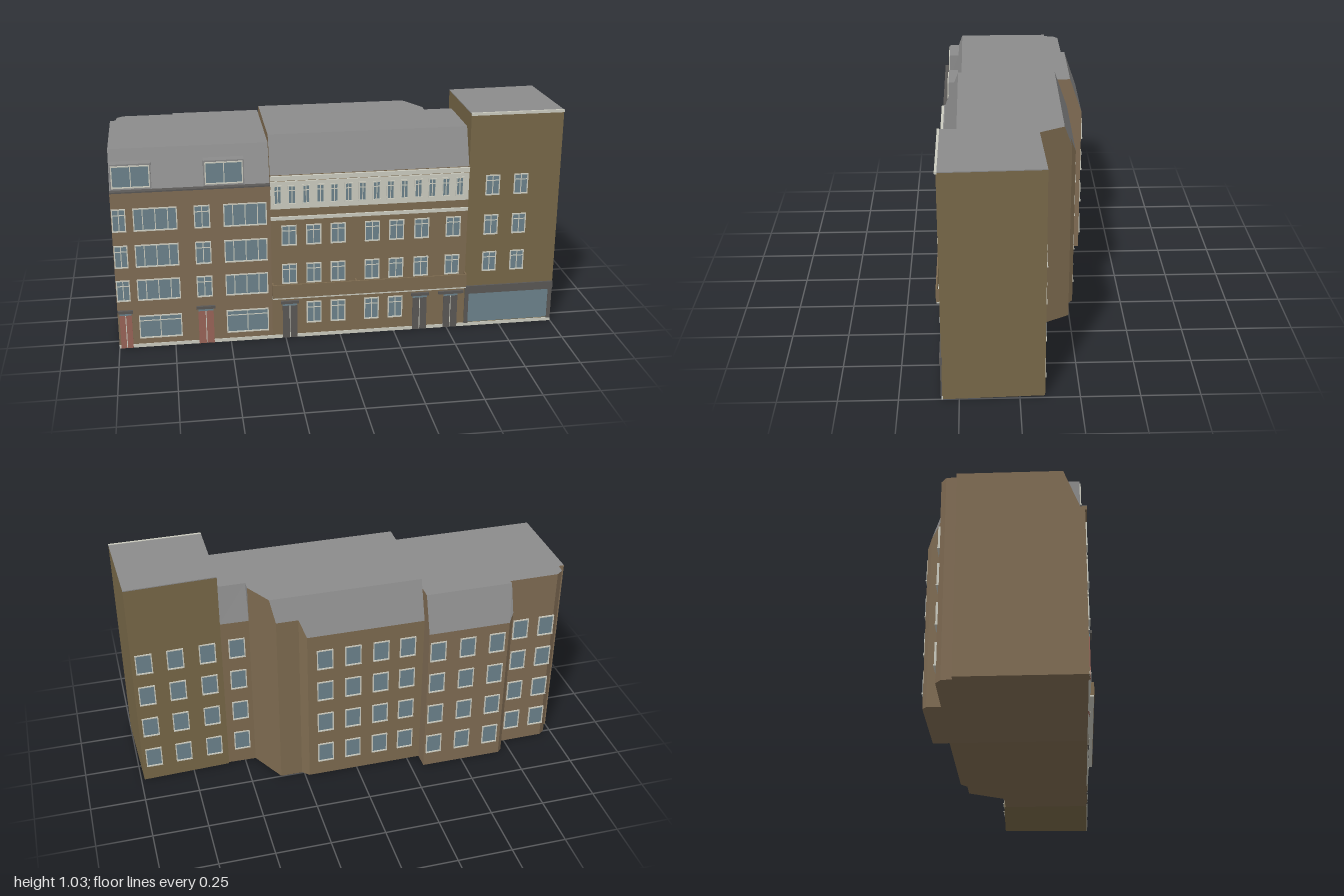
import * as THREE from 'three';
import { mergeGeometries } from 'three/addons/utils/BufferGeometryUtils.js';

const COLORS = {
  wallA: 0x806c54, wallB: 0x7e6b50, wallC: 0x786848, roof: 0x8c8c8c, trim: 0xccccc0,
  glass: 0x6c838c, dark: 0x5a5856, red: 0x9a6458,
};
const FRONT = 0.32;

export function createModel() {
  const model = new THREE.Group();
  const mats = {};
  for (const k in COLORS) mats[k] = new THREE.MeshStandardMaterial({ color: COLORS[k], flatShading: true });

  const addMesh = (name, mat, geo) => {
    const m = new THREE.Mesh(geo, mats[mat]);
    m.name = name;
    model.add(m);
  };

  // Boxes are collected by part name and merged at the end
  const batches = {};
  const box = (name, mat, x0, x1, y0, y1, z0, z1) => {
    const g = new THREE.BoxGeometry(x1 - x0, y1 - y0, Math.abs(z1 - z0));
    g.translate((x0 + x1) / 2, (y0 + y1) / 2, (z0 + z1) / 2);
    (batches[name] ??= { mat, list: [] }).list.push(g);
  };

  // Window with glass, frame, glazing bars (fractions of the width) and sill
  const win = (name, cx, y0, y1, w, z = FRONT, dir = 1, bars = [0.5], transom = 0) => {
    const x0 = cx - w / 2, x1 = cx + w / 2, t = 0.005;
    const frame = (a, b, c, d, p = 0.005) => box(name + 'Frames', 'trim', a, b, c, d, z - dir * 0.004, z + dir * p);
    box(name + 'Glass', 'glass', x0, x1, y0, y1, z - dir * 0.004, z + dir * 0.002);
    frame(x0 - t, x0, y0, y1);
    frame(x1, x1 + t, y0, y1);
    frame(x0 - t, x1 + t, y1, y1 + t);
    frame(x0 - t, x1 + t, y0 - t, y0, 0.008);
    for (const f of bars) frame(x0 + f * w - 0.002, x0 + f * w + 0.002, y0, y1, 0.004);
    if (transom) frame(x0, x1, y0 + (y1 - y0) * transom - 0.002, y0 + (y1 - y0) * transom + 0.002, 0.004);
  };

  // Door with two leaves and a canopy
  const door = (name, mat, x0, x1, y1, canopy = 0.008) => {
    const xm = (x0 + x1) / 2;
    box(name, mat, x0, xm - 0.002, 0, y1, FRONT - 0.004, FRONT + 0.004);
    box(name, mat, xm + 0.002, x1, 0, y1, FRONT - 0.004, FRONT + 0.004);
    box('doorGaps', 'trim', xm - 0.002, xm + 0.002, 0, y1, FRONT - 0.004, FRONT + 0.002);
    box('doorLights', 'glass', x0, x1, y1, y1 + 0.012, FRONT - 0.004, FRONT + 0.004);
    box('doorCanopies', 'dark', x0 - canopy, x1 + canopy, y1 + 0.012, y1 + 0.025, FRONT - 0.004, FRONT + 0.012);
  };

  // Building body lofted along x; each section is [x, back wall z, back eave y, back roof edge z]
  const loft = (name, wallMat, sections, eave, ledgeZ, ridgeZ, top) => {
    const rings = sections.map(([x, zb, ye, zt]) => [
      [FRONT, 0], [FRONT, eave], [ledgeZ, eave], [ridgeZ, top], [zt, top], [zb, ye], [zb, 0],
    ].map(([z, y]) => [x, y, z]));
    const wall = [], roof = [];
    for (let i = 0; i < rings.length - 1; i++) {
      const a = rings[i], b = rings[i + 1];
      for (let k = 0; k < 7; k++) {
        const n = (k + 1) % 7;
        (k >= 1 && k <= 4 ? roof : wall).push(...a[k], ...b[k], ...b[n], ...a[k], ...b[n], ...a[n]);
      }
    }
    const first = rings[0], last = rings[rings.length - 1];
    for (let j = 0; j < 5; j++) {
      wall.push(...first[6], ...first[j], ...first[j + 1]);
      wall.push(...last[6], ...last[j + 1], ...last[j]);
    }
    const geo = (p) => {
      const g = new THREE.BufferGeometry();
      g.setAttribute('position', new THREE.Float32BufferAttribute(p, 3));
      g.computeVertexNormals();
      return g;
    };
    addMesh(name + 'Walls', wallMat, geo(wall));
    addMesh(name + 'Roof', 'roof', geo(roof));
  };

  loft('westHouse', 'wallA', [
    [-1, -0.2, 0.91, -0.2], [-0.975, -0.2, 0.91, -0.2], [-0.97, -0.245, 0.91, -0.245],
    [-0.94, -0.268, 0.91, -0.268], [-0.71, -0.27, 0.91, -0.27], [-0.71, -0.33, 0.78, -0.288],
    [-0.69, -0.347, 0.74, -0.288], [-0.31, -0.347, 0.74, -0.288],
  ], 0.74, 0.3, 0.235, 0.91);

  loft('middleHouse', 'wallB', [
    [-0.31, -0.275, 0.77, -0.212], [0.23, -0.275, 0.77, -0.212], [0.26, -0.247, 0.85, -0.212],
    [0.36, -0.247, 0.85, -0.212], [0.38, -0.212, 0.95, -0.212], [0.45, -0.085, 0.95, -0.085],
    [0.45, -0.085, 0.78, -0.042], [0.58, -0.082, 0.78, -0.042],
  ], 0.785, 0.315, 0.25, 0.95);

  // Tall corner house with a slightly slanted plan
  const plan = new THREE.Shape([[0.58, -FRONT], [1, -FRONT], [0.985, 0.105], [0.58, 0.09]]
    .map(([x, y]) => new THREE.Vector2(x, y)));
  const slab = (y0, y1) => new THREE.ExtrudeGeometry(plan, { depth: y1 - y0, bevelEnabled: false })
    .rotateX(-Math.PI / 2).translate(0, y0, 0);
  addMesh('cornerHouseWalls', 'wallC', slab(0, 1.024));
  addMesh('cornerHouseRoof', 'roof', slab(1.024, 1.028));
  box('cornerCornice', 'trim', 0.58, 1, 1.018, 1.03, FRONT - 0.004, FRONT + 0.006);

  // West house front: wide and narrow windows, doors, dormers, cornice
  const floors = [[0.05, 0.15], [0.235, 0.325], [0.395, 0.49], [0.565, 0.66]];
  floors.forEach(([y0, y1], i) => {
    for (const cx of [-0.812, -0.422]) {
      win('westWindow', cx, y0, y1, 0.18, FRONT, 1, i ? [0.2, 0.5, 0.8] : [0.5], i ? 0 : 0.8);
    }
    if (i) {
      win('westWindow', -0.968, y0, y1, 0.05, FRONT, 1, [0.5], 0.75);
      win('westWindow', -0.61, y0, y1, 0.06, FRONT, 1, [0.5], 0.75);
    }
  });
  door('redDoors', 'red', -0.992, -0.938, 0.16, 0.006);
  door('redDoors', 'red', -0.643, -0.575, 0.16);
  for (const cx of [-0.908, -0.508]) {
    box('dormers', 'roof', cx - 0.088, cx + 0.088, 0.742, 0.86, 0.245, 0.3);
    win('dormerWindow', cx, 0.758, 0.848, 0.155, 0.3);
  }
  box('westCornice', 'wallA', -1, -0.31, 0.722, 0.738, FRONT - 0.004, FRONT + 0.008);
  box('westGutter', 'dark', -1, -0.31, 0.738, 0.744, FRONT - 0.02, FRONT + 0.008);

  // Middle house front: attic band, cornices, windows, doors
  box('atticBand', 'trim', -0.31, 0.58, 0.628, 0.745, FRONT - 0.004, FRONT + 0.003);
  box('atticCornice', 'trim', -0.31, 0.58, 0.762, 0.782, FRONT - 0.004, FRONT + 0.012);
  box('atticCornice', 'trim', -0.31, 0.58, 0.745, 0.756, FRONT - 0.004, FRONT + 0.007);
  box('stringCourse', 'trim', -0.31, 0.58, 0.577, 0.592, FRONT - 0.004, FRONT + 0.008);
  for (let i = 0; i < 14; i++) {
    win('atticWindow', -0.278 + i * 0.0628, 0.655, 0.733, 0.026, FRONT + 0.002, 1, [0.5], 0.75);
  }
  const bays = [-0.23, -0.12, -0.01, 0.145, 0.255, 0.37, 0.515];
  for (const cx of bays) {
    for (const y0 of [0.46, 0.275]) win('middleWindow', cx, y0, y0 + 0.085, 0.058, FRONT, 1, [0.5], 0.75);
  }
  for (const cx of bays.slice(1, 5)) win('middleWindow', cx, 0.075, 0.17, 0.058, FRONT, 1, [0.5], 0.75);
  for (const cx of [-0.23, 0.37, 0.515]) {
    door('darkDoors', 'dark', cx - 0.033, cx + 0.033, 0.16, cx > 0.5 ? 0.026 : 0.008);
  }

  // Long balcony with open top
  box('balconyFloor', 'trim', -0.31, 0.58, 0.205, 0.214, FRONT - 0.004, 0.35);
  box('balconyParapet', 'wallB', -0.31, 0.58, 0.212, 0.275, 0.345, 0.352);
  for (const x of [-0.31, 0.067, 0.574]) {
    box('balconyParapet', 'wallB', x, x + 0.006, 0.212, 0.275, FRONT - 0.004, 0.346);
  }

  // Corner house front: shopfront and windows
  box('shopSurround', 'dark', 0.582, 1, 0.165, 0.203, FRONT - 0.004, FRONT + 0.008);
  for (const x of [0.582, 0.98]) box('shopSurround', 'dark', x, x + 0.018, 0.015, 0.166, FRONT - 0.004, FRONT + 0.006);
  box('shopGlass', 'glass', 0.6, 0.98, 0.02, 0.165, FRONT - 0.004, FRONT + 0.003);
  for (const cx of [0.69, 0.82]) {
    for (const y0 of [0.28, 0.46, 0.65]) win('cornerWindow', cx, y0, y0 + 0.085, 0.055, FRONT, 1, [0.5], 0.75);
  }
  box('plinth', 'trim', -1, 1, 0, 0.016, FRONT - 0.004, FRONT + 0.003);

  // Back windows: [back wall z, column centres]
  const backs = [
    [-0.27, [-0.905, -0.78]], [-0.347, [-0.635, -0.495, -0.355]],
    [-0.275, [-0.235, -0.11, 0.02, 0.15]], [-0.083, [0.51]],
    [-0.092, [0.645]], [-0.098, [0.79]], [-0.103, [0.93]],
  ];
  for (const [z, cols] of backs) {
    for (const cx of cols) {
      for (const cy of [0.125, 0.3, 0.475, 0.645]) win('backWindow', cx, cy - 0.045, cy + 0.045, 0.065, z, -1, []);
    }
  }

  for (const name in batches) addMesh(name, batches[name].mat, mergeGeometries(batches[name].list));
  return model;
}
